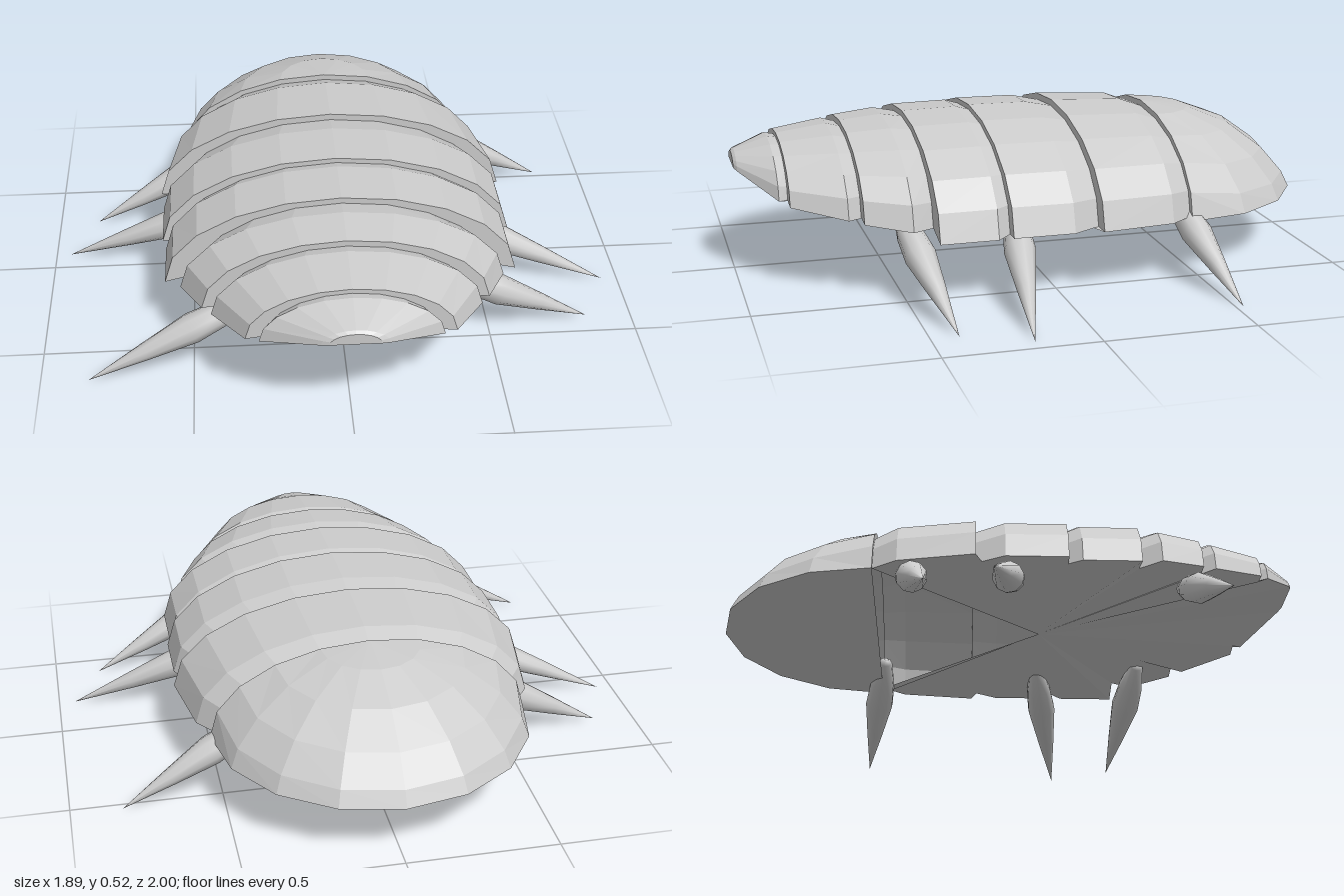
import * as THREE from 'three';

const ARC = 10; // facets across the back
const BELLY = [0, 0.22, 0.1]; // point where the underside plates meet

const material = new THREE.MeshStandardMaterial({
  color: 0xcccccc, flatShading: true, side: THREE.DoubleSide,
});
const legMaterial = new THREE.MeshStandardMaterial({ color: 0xcccccc });

// Half-elliptical arch: [z, half width, rim height, crown height]
function arch([z, w, rim, crown]) {
  return Array.from({ length: ARC + 1 }, (_, i) => {
    const a = (Math.PI * i) / ARC;
    return [w * Math.cos(a), rim + (crown - rim) * Math.sin(a), z];
  });
}

// Arched plate lofted through its sections, closed below towards the belly point
function plateGeometry(sections, capFront) {
  const rings = sections.map(arch);
  const pos = [];
  const tri = (a, b, c) => pos.push(...a, ...b, ...c);
  for (let j = 0; j < rings.length - 1; j++) {
    const r = rings[j], s = rings[j + 1];
    for (let i = 0; i < ARC; i++) {
      tri(r[i], r[i + 1], s[i]);
      tri(r[i + 1], s[i + 1], s[i]);
    }
    tri(r[0], s[0], BELLY);
    tri(s[ARC], r[ARC], BELLY);
  }
  if (capFront) {
    const last = rings[rings.length - 1];
    for (let i = 1; i < ARC; i++) tri(last[0], last[i], last[i + 1]);
    tri(last[0], last[ARC], BELLY);
  }
  const g = new THREE.BufferGeometry();
  g.setAttribute('position', new THREE.Float32BufferAttribute(pos, 3));
  g.computeVertexNormals();
  return g;
}

// Quarter dome over the back end, sagging a little towards its rim
function domeGeometry() {
  const g = new THREE.SphereGeometry(1, 8, 5, Math.PI, Math.PI, 0, Math.PI / 2);
  const p = g.attributes.position;
  for (let i = 0; i < p.count; i++) {
    const back = Math.abs(p.getZ(i));
    p.setY(i, Math.max(0, p.getY(i)) ** (1 + 0.5 * Math.sqrt(back)));
  }
  g.scale(0.53, 0.3, 0.535);
  g.translate(0, 0.205, -0.465);
  g.computeVertexNormals();
  return g;
}

// Spindle-shaped leg from under the body to a sharp tip
function makeLeg(side, kneeX, kneeZ, tipX, tipZ) {
  const tip = new THREE.Vector3(side * tipX, 0.005, tipZ);
  const knee = new THREE.Vector3(side * kneeX, 0.165, kneeZ);
  const dir = tip.clone().sub(knee);
  const length = dir.length();
  dir.normalize();
  const profile = [[0, -0.21], [0.025, -0.2], [0.045, -0.1], [0.052, 0], [0.03, length * 0.45], [0, length]]
    .map(([r, y]) => new THREE.Vector2(r, y));
  const leg = new THREE.Mesh(new THREE.LatheGeometry(profile, 10), legMaterial);
  leg.position.copy(knee);
  leg.quaternion.setFromUnitVectors(new THREE.Vector3(0, 1, 0), dir);
  return leg;
}

export function createModel() {
  const model = new THREE.Group();
  model.name = 'segmentedCrawler';
  const add = (name, mesh) => {
    mesh.name = name;
    model.add(mesh);
  };

  // Rear shell with its flat underside
  add('rearDome', new THREE.Mesh(domeGeometry(), material));
  const base = new THREE.CircleGeometry(1, 16, Math.PI, Math.PI);
  const flat = new THREE.CircleGeometry(1, 8, Math.PI, Math.PI);
  base.dispose();
  flat.rotateX(Math.PI / 2).scale(0.53, 1, 0.535).translate(0, 0.205, -0.465);
  add('rearDomeUnderside', new THREE.Mesh(flat, material));

  // Overlapping back plates, each starting narrower than the one behind it
  const plates = [
    [[-0.465, 0.505, 0.215, 0.485], [-0.385, 0.565, 0.215, 0.515], [-0.13, 0.61, 0.22, 0.527]],
    [[-0.13, 0.545, 0.22, 0.505], [-0.035, 0.6, 0.22, 0.525], [0.17, 0.6, 0.22, 0.527]],
    [[0.17, 0.55, 0.22, 0.51], [0.215, 0.588, 0.215, 0.523], [0.407, 0.588, 0.215, 0.52]],
    [[0.407, 0.485, 0.24, 0.5], [0.48, 0.535, 0.245, 0.513], [0.625, 0.465, 0.262, 0.5]],
    [[0.625, 0.4, 0.27, 0.48], [0.67, 0.435, 0.27, 0.492], [0.842, 0.33, 0.298, 0.47]],
    [[0.842, 0.27, 0.305, 0.455], [0.872, 0.288, 0.31, 0.46], [0.985, 0.105, 0.372, 0.423], [0.995, 0.08, 0.378, 0.415]],
  ];
  let previous = [-0.465, 0.53, 0.205, 0.505];
  plates.forEach((sections, i) => {
    const last = i === plates.length - 1;
    const geometry = plateGeometry([previous, ...sections], last);
    add(last ? 'headPlate' : `backPlate${i + 1}`, new THREE.Mesh(geometry, material));
    previous = sections[sections.length - 1];
  });

  // Three legs on each side, in staggered poses
  const legs = [
    [1, 0.53, -0.48, 0.83, -0.525], [1, 0.56, 0.14, 0.945, 0.2], [1, 0.53, 0.46, 0.845, 0.41],
    [-1, 0.55, -0.335, 0.86, -0.29], [-1, 0.56, -0.025, 0.95, -0.08], [-1, 0.5, 0.6, 0.845, 0.647],
  ];
  legs.forEach((leg, i) => add(`${leg[0] > 0 ? 'left' : 'right'}Leg${(i % 3) + 1}`, makeLeg(...leg)));

  return model;
}
